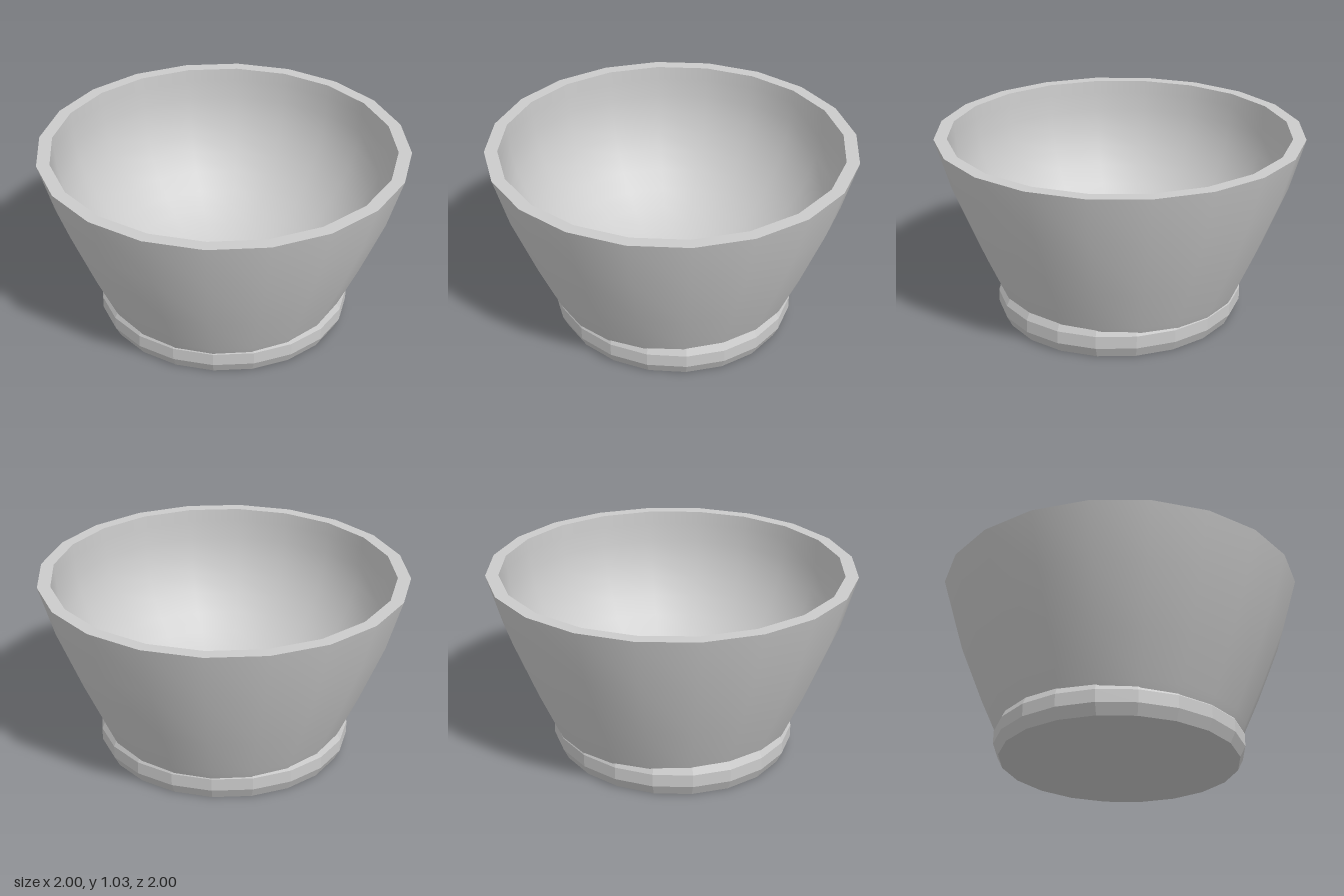
import * as THREE from 'three';

const SIDES = 20;

export function createModel() {
  const group = new THREE.Group();
  const smooth = new THREE.MeshStandardMaterial({ color: 0xcccccc });
  const faceted = new THREE.MeshStandardMaterial({ color: 0xcccccc, flatShading: true });

  // Revolve an [radius, height] profile; upward runs face out, downward runs face in
  function turn(name, profile, material) {
    const points = profile.map(([r, y]) => new THREE.Vector2(r, y));
    const mesh = new THREE.Mesh(new THREE.LatheGeometry(points, SIDES), material);
    mesh.name = name;
    group.add(mesh);
    return mesh;
  }

  // Flared outer wall
  turn('outerWall', [[0.655, 0.12], [0.685, 0.18], [0.79, 0.42], [0.92, 0.75], [1, 1.03]], smooth);

  // Flat rim and the short straight lip inside it
  turn('rim', [[1, 1.03], [0.93, 1.03]], faceted);
  turn('innerLip', [[0.93, 1.03], [0.925, 0.96]], smooth);

  // Rounded hollow, a quarter ellipse from the lip to the middle of the floor
  const hollow = [];
  for (let i = 0; i <= 12; i++) {
    const a = (i / 12) * Math.PI / 2;
    hollow.push([i === 12 ? 0 : 0.925 * Math.cos(a), 0.96 - 0.86 * Math.sin(a)]);
  }
  turn('hollow', hollow, smooth);

  // Chamfered foot, slightly oval, closed underneath
  const foot = turn('foot', [[0, 0], [0.67, 0], [0.7, 0.06], [0.7, 0.13], [0.675, 0.18]], faceted);
  foot.scale.z = 0.95;

  return group;
}
